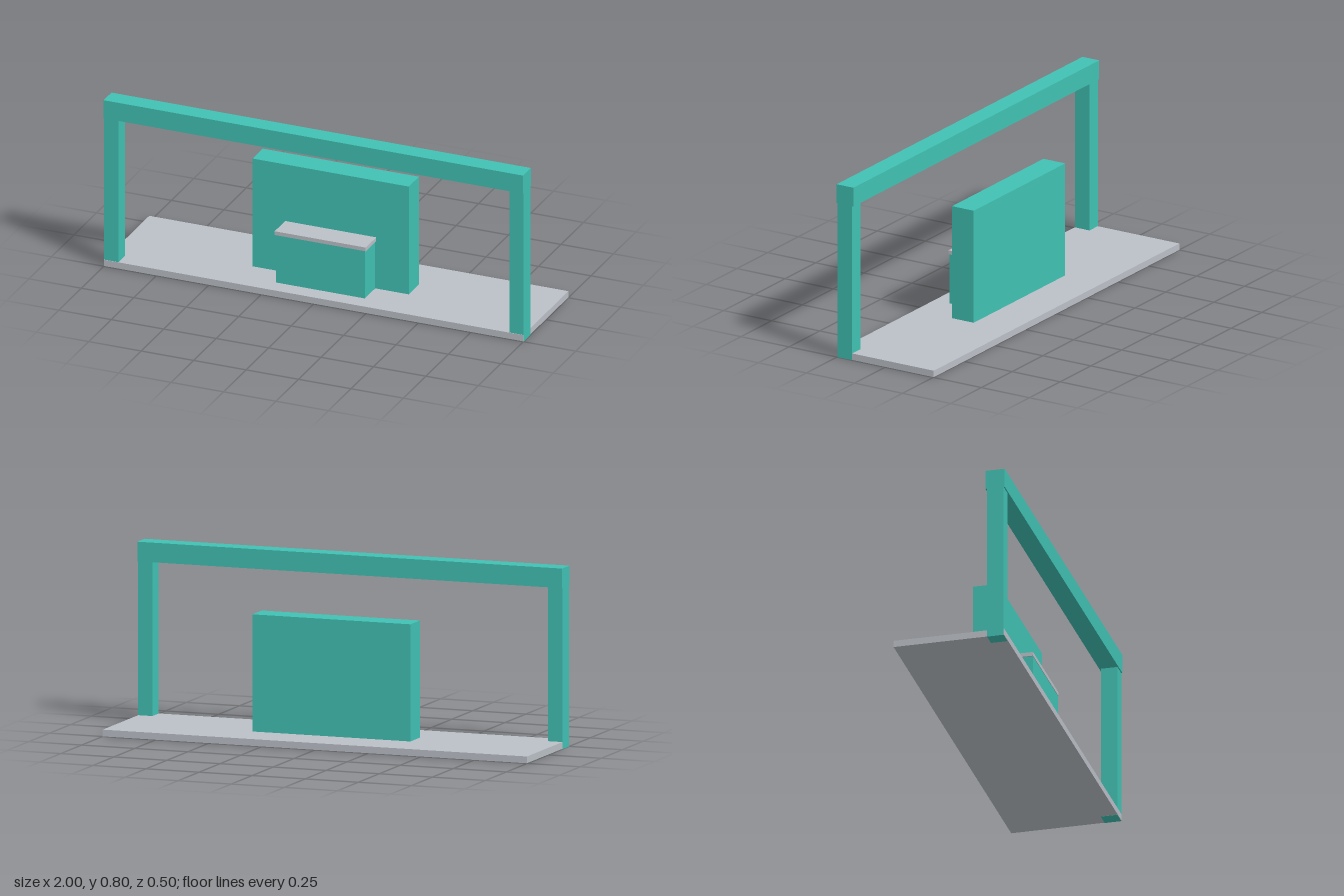
import * as THREE from 'three';

const teal = new THREE.MeshStandardMaterial({ color: 0x41c2b4 });
teal.name = 'teal';
const grey = new THREE.MeshStandardMaterial({ color: 0xbcc1c8 });
grey.name = 'light grey';

// Box given by its extents on each axis
function block(name, material, [x0, x1], [y0, y1], [z0, z1]) {
  const mesh = new THREE.Mesh(new THREE.BoxGeometry(x1 - x0, y1 - y0, z1 - z0), material);
  mesh.position.set((x0 + x1) / 2, (y0 + y1) / 2, (z0 + z1) / 2);
  mesh.name = name;
  return mesh;
}

export function createModel() {
  const model = new THREE.Group();
  model.name = 'counterStand';

  // Floor slab
  model.add(block('base', grey, [-0.999, 0.999], [0.001, 0.031], [-0.252, 0.249]));

  // Front frame: two posts through the slab, carrying a beam
  const frame = new THREE.Group();
  frame.name = 'frame';
  frame.add(block('leftPost', teal, [0.932, 1], [0, 0.716], [0.172, 0.247]));
  frame.add(block('rightPost', teal, [-1, -0.932], [0, 0.716], [0.172, 0.247]));
  frame.add(block('beam', teal, [-1, 1], [0.715, 0.802], [0.165, 0.252]));
  model.add(frame);

  // Back panel
  model.add(block('backPanel', teal, [-0.374, 0.37], [0.031, 0.551], [-0.058, 0.055]));

  // Counter with a slightly wider top
  const counter = new THREE.Group();
  counter.name = 'counter';
  counter.add(block('counterBody', teal, [-0.214, 0.21], [0.031, 0.26], [0.055, 0.17]));
  counter.add(block('counterTop', grey, [-0.219, 0.215], [0.26, 0.278], [0.055, 0.172]));
  model.add(counter);

  return model;
}
